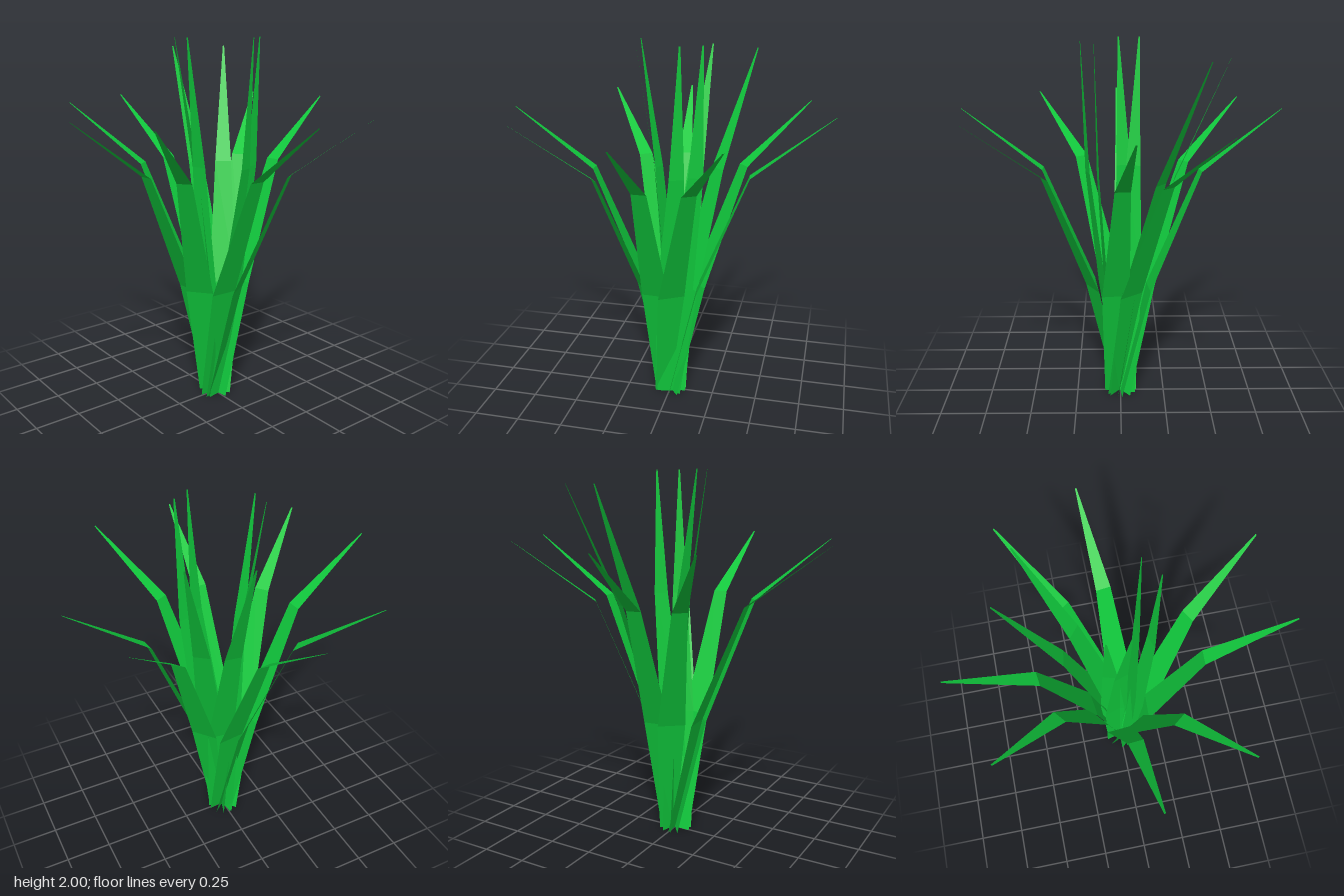
import * as THREE from 'three';

const material = new THREE.MeshStandardMaterial({
  color: 0x10c83c, flatShading: true, side: THREE.DoubleSide,
});

// Blade styles: height of each row, how far it has leaned towards the tip, and its width
const bent = { y: [0, 0.66, 1.32, 1.64], lean: [0, 0.18, 0.5, 1], width: [0.09, 0.15, 0.08, 0.008] };
const arched = { y: [0, 0.64, 1.3, 1.93], lean: [0, 0.17, 0.52, 1], width: [0.09, 0.15, 0.09, 0.008] };
const upright = { y: [0, 0.67, 1.33, 2], lean: [0, 0.2, 0.5, 1], width: [0.09, 0.14, 0.08, 0.008] };
const steep = { ...upright, lean: [0, 0.45, 0.85, 1] };

// Flat tapering strip from a base beside the centre to the tip (x, z)
function makeBlade(name, style, x, z, facing) {
  const r = Math.hypot(x, z);
  const bx = (-z / r) * 0.045, bz = (x / r) * 0.045;
  const angle = facing ?? Math.atan2(z - bz, x - bx);
  const sx = -Math.sin(angle), sz = Math.cos(angle);
  const positions = [], index = [];
  style.y.forEach((y, i) => {
    const cx = bx + (x - bx) * style.lean[i];
    const cz = bz + (z - bz) * style.lean[i];
    const h = style.width[i] / 2;
    positions.push(cx - sx * h, y, cz - sz * h, cx + sx * h, y, cz + sz * h);
    if (i) {
      const a = 2 * i - 2;
      index.push(a, a + 2, a + 1, a + 1, a + 2, a + 3);
    }
  });
  const geometry = new THREE.BufferGeometry();
  geometry.setAttribute('position', new THREE.Float32BufferAttribute(positions, 3));
  geometry.setIndex(index);
  geometry.computeVertexNormals();
  const mesh = new THREE.Mesh(geometry, material);
  mesh.name = name;
  return mesh;
}

export function createModel() {
  const group = new THREE.Group();
  group.name = 'grassTuft';

  // Outer ring of drooping blades
  const outer = [
    [-0.06, -0.85], [-0.49, -0.68], [0.69, -0.5], [0.84, -0.06],
    [0.4, 0.76], [-0.08, 0.84], [-0.69, 0.48], [-0.85, 0.02],
  ];
  outer.forEach(([x, z], i) => group.add(makeBlade(`outerBlade${i + 1}`, bent, x, z)));

  // Two arched blades at the back
  [[0.12, -0.55], [0.39, -0.42]].forEach(([x, z], i) =>
    group.add(makeBlade(`archedBlade${i + 1}`, arched, x, z)));

  // Tall blades in the middle
  group.add(
    makeBlade('tallBlade1', upright, -0.18, 0.01),
    makeBlade('tallBlade2', upright, -0.18, -0.1),
    makeBlade('tallBlade3', steep, 0.09, 0.2, 1.25),
    makeBlade('tallBlade4', steep, 0.19, 0.13, 1.4),
  );
  return group;
}
